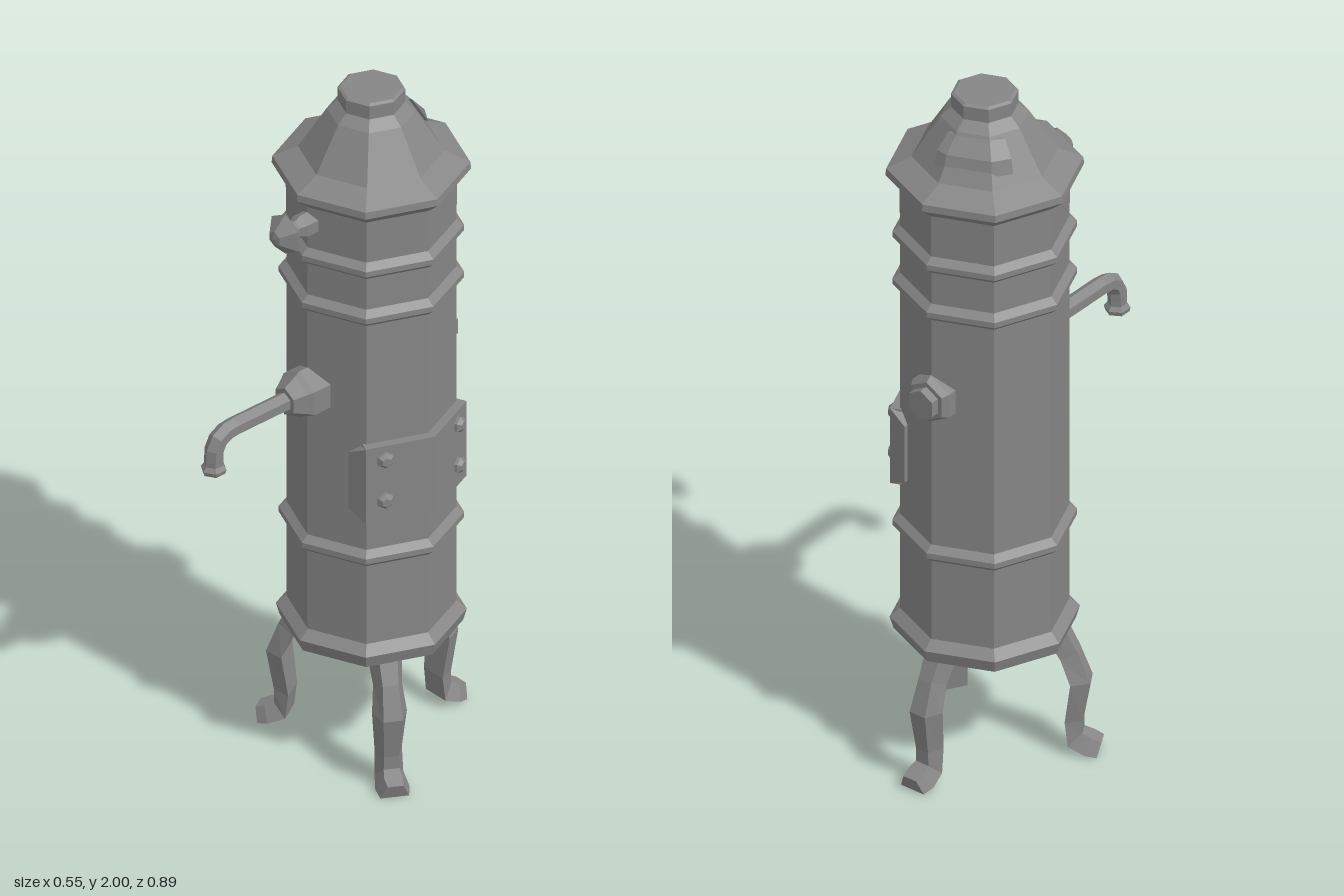
import * as THREE from 'three';
import { ConvexGeometry } from 'three/addons/geometries/ConvexGeometry.js';

const material = new THREE.MeshStandardMaterial({ color: 0x868686, flatShading: true, side: THREE.DoubleSide });

function part(name, geometry, parent) {
  const mesh = new THREE.Mesh(geometry, material);
  mesh.name = name;
  parent.add(mesh);
  return mesh;
}

// Lathe from [radius, height] pairs
function turned(profile, sides) {
  return new THREE.LatheGeometry(profile.map(([r, y]) => new THREE.Vector2(r, y)), sides);
}

// Lathe whose axis points along +z, with a corner at the top
function turnedAlongZ(profile, sides) {
  return turned(profile, sides).rotateX(Math.PI / 2).rotateZ(Math.PI);
}

// Bent leg: trapezoid sections [radius, height, half width, half thickness, tilt]
function legGeometry() {
  const sections = [
    [0.172, 0.41, 0.042, 0.022, 0.5], [0.195, 0.36, 0.044, 0.024, 0.5], [0.225, 0.3, 0.038, 0.023, 0.4],
    [0.254, 0.22, 0.046, 0.024, 0], [0.236, 0.1, 0.036, 0.022, 0], [0.24, 0.045, 0.038, 0.024, 0.75],
    [0.275, 0.03, 0.045, 0.022, 1.2], [0.303, 0.02, 0.038, 0.02, 1.3],
  ];
  const position = [];
  const index = [];
  sections.forEach(([r, y, w, t, tilt], i) => {
    const dz = Math.cos(tilt) * t, dy = Math.sin(tilt) * t;
    position.push(-w, y - dy, r - dz, w, y - dy, r - dz, w * 0.55, y + dy, r + dz, -w * 0.55, y + dy, r + dz);
    if (i === 0) return;
    for (let k = 0; k < 4; k++) {
      const a = (i - 1) * 4 + k, b = (i - 1) * 4 + (k + 1) % 4;
      index.push(a, a + 4, b, b, a + 4, b + 4);
    }
  });
  const n = (sections.length - 1) * 4;
  index.push(0, 1, 2, 0, 2, 3, n, n + 2, n + 1, n, n + 3, n + 2);
  const geometry = new THREE.BufferGeometry();
  geometry.setAttribute('position', new THREE.Float32BufferAttribute(position, 3));
  geometry.setIndex(index);
  geometry.computeVertexNormals();
  return geometry;
}

export function createModel() {
  const model = new THREE.Group();
  model.name = 'boiler';
  const body = new THREE.Group();
  body.name = 'body';
  body.position.z = -0.135;
  model.add(body);

  // Octagonal tank, hollow underneath, with ribs and a conical hood
  const rib = (y) => [[0.22, y - 0.025], [0.24, y - 0.008], [0.24, y + 0.008], [0.22, y + 0.025]];
  part('tank', turned([
    [0, 0.46], [0.19, 0.46], [0.19, 0.365], [0.237, 0.365], [0.247, 0.4], [0.22, 0.425],
    ...rib(0.69), ...rib(1.43), ...rib(1.575),
    [0.222, 1.725], [0.245, 1.745], [0.258, 1.757], [0.256, 1.777], [0.23, 1.78],
  ], 8), body);
  part('hood', turned([
    [0.256, 1.777], [0.19, 1.81], [0.115, 1.93], [0.087, 1.955], [0.088, 1.995], [0.08, 2], [0, 2],
  ], 8), body);

  // Raised flap on the rear of the hood
  const flap = [];
  for (const angle of [0.93, 1, 1.25, 1.36]) {
    for (const [r, y] of [[0.12, 1.922], [0.157, 1.88], [0.168, 1.84]]) {
      flap.push(new THREE.Vector3(Math.sin(angle * Math.PI) * r, y, Math.cos(angle * Math.PI) * r));
    }
  }
  part('hoodFlap', new ConvexGeometry(flap), body);

  // Three legs
  for (let i = 0; i < 3; i++) {
    part('leg', legGeometry(), body).rotation.y = Math.PI + i * Math.PI * 2 / 3;
  }

  // Riveted plate folded around the side, with chamfered ends
  const plate = new THREE.Group();
  plate.name = 'sidePlate';
  body.add(plate);
  for (const s of [1, -1]) {
    const half = new THREE.Group();
    half.name = 'plateHalf';
    half.rotation.y = Math.PI / 2 - s * Math.PI / 8;
    plate.add(half);
    const panel = new THREE.BoxGeometry(0.188, 0.23, 0.03);
    part('panel', panel, half).position.set(0, 0.925, 0.212);
    for (const y of [0.875, 1.0]) {
      const rivet = part('rivet', turnedAlongZ([[0.023, 0], [0.023, 0.01], [0.013, 0.02], [0, 0.02]], 6), half);
      rivet.position.set(s * -0.042, y, 0.225);
    }
    const end = [];
    for (const [x, z, h] of [[0.174, 0.174, 0.115], [0.15, 0.15, 0.115], [0.117, 0.184, 0.085], [0.117, 0.164, 0.085]]) {
      for (const side of [1, -1]) end.push(new THREE.Vector3(x, 0.925 + side * h, s * z));
    }
    part('plateEnd', new ConvexGeometry(end), plate);
  }

  // Front tap: hexagonal collar, bent spout and lip
  const tap = new THREE.Group();
  tap.name = 'tap';
  tap.position.y = 1.16;
  model.add(tap);
  part('collar', turnedAlongZ([[0, 0.05], [0.07, 0.05], [0.07, 0.115], [0.06, 0.13], [0.04, 0.165], [0, 0.165]], 6), tap);
  const path = new THREE.CurvePath();
  const v = (y, z) => new THREE.Vector3(0, y, z);
  path.add(new THREE.LineCurve3(v(0, 0.14), v(0, 0.34)));
  path.add(new THREE.QuadraticBezierCurve3(v(0, 0.34), v(0, 0.41), v(-0.06, 0.41)));
  path.add(new THREE.LineCurve3(v(-0.06, 0.41), v(-0.1, 0.41)));
  part('spout', new THREE.TubeGeometry(path, 12, 0.026, 6), tap);
  const lip = part('spoutLip', turned([[0, 0.01], [0.018, 0], [0.032, 0], [0.035, 0.012], [0.025, 0.025]], 6), tap);
  lip.position.set(0, -0.11, 0.41);

  // Upper front valve knob
  const knob = part('valveKnob', turnedAlongZ([
    [0.034, 0.06], [0.034, 0.11], [0.024, 0.13], [0.028, 0.14], [0.06, 0.163], [0.022, 0.2], [0, 0.205],
  ], 6), model);
  knob.position.y = 1.675;

  // Rear plug
  const plug = part('rearPlug', turnedAlongZ([
    [0.07, 0.18], [0.07, 0.222], [0.058, 0.24], [0.044, 0.24], [0.044, 0.265], [0, 0.265],
  ], 6), body);
  plug.position.y = 1.165;
  plug.rotation.y = Math.PI;

  return model;
}
